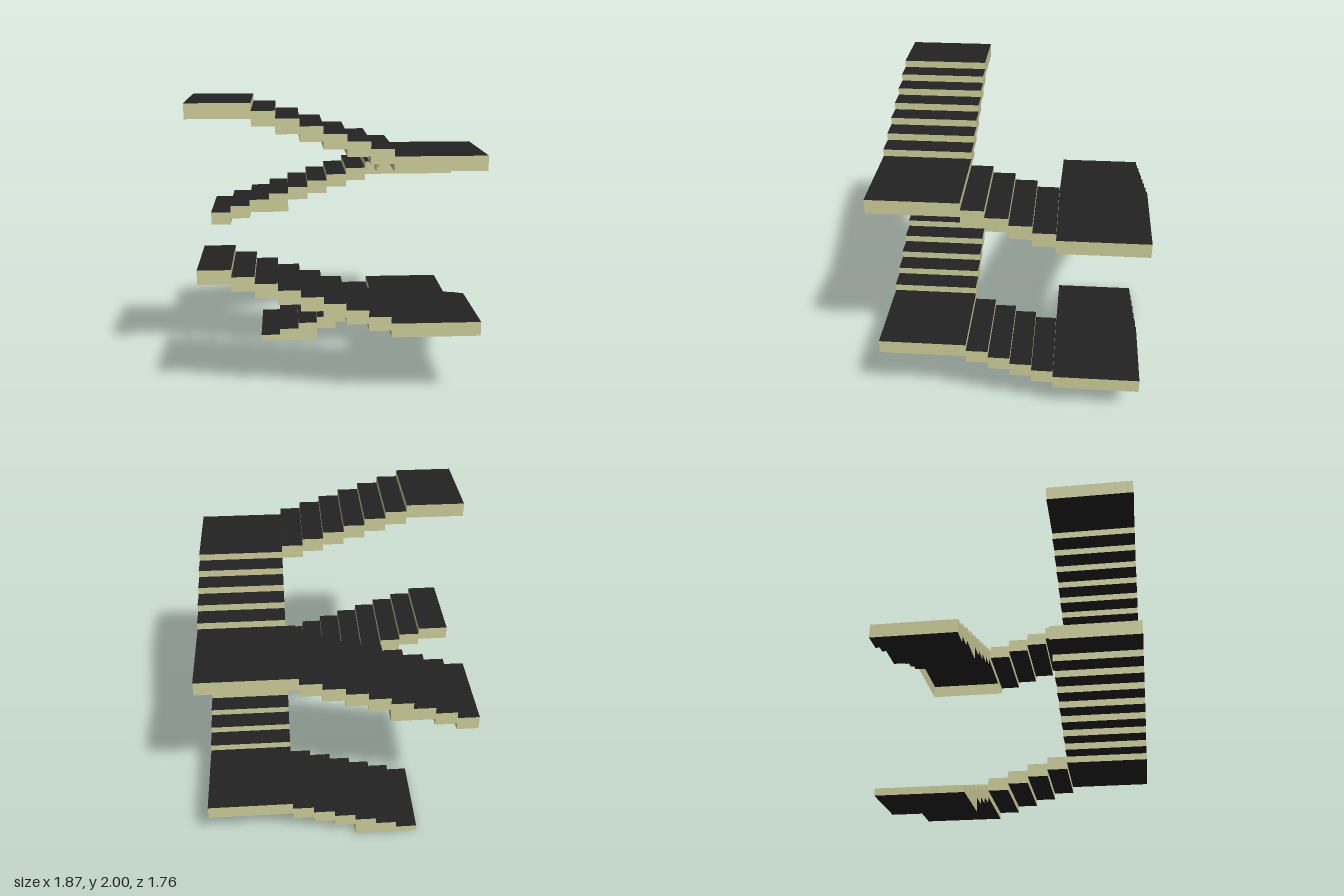
import * as THREE from 'three';

const RISE = 2 / 42;          // height of one step
const RUN = 0.1464;           // depth of one step
const IN = 0.293, OUT = 0.879; // inner and outer z of the front and back flights
const X0 = 0.345, X1 = 0.932;  // inner and outer x of the side flight

export function createModel() {
  const tread = new THREE.MeshStandardMaterial({ color: 0x222222, side: THREE.DoubleSide });
  tread.name = 'blackTread';
  const stone = new THREE.MeshStandardMaterial({ color: 0xcccc99, side: THREE.DoubleSide });
  stone.name = 'paleStone';
  const materials = [stone, stone, tread, tread, stone, stone];

  // Slab between two x and two z values; heights are counted in rises
  function slab(parent, name, xa, xb, za, zb, top, bottom = top - 2, open = false) {
    const h = (top - bottom) * RISE;
    const geo = new THREE.BoxGeometry(Math.abs(xb - xa), h, Math.abs(zb - za));
    if (open) { // leave out the underside
      const index = Array.from(geo.index.array);
      index.splice(18, 6);
      geo.setIndex(index);
      geo.clearGroups();
      geo.addGroup(0, 12, 0);
      geo.addGroup(12, 6, 2);
      geo.addGroup(18, 12, 4);
    }
    const mesh = new THREE.Mesh(geo, materials);
    mesh.name = name;
    mesh.position.set((xa + xb) / 2, bottom * RISE + h / 2, (za + zb) / 2);
    parent.add(mesh);
  }

  // Flight along x at the back (rising to +x); some low steps are filled down to a flat base
  function backFlight(parent, startX, count, firstTop, base) {
    for (let i = 0; i < count; i++) {
      const x = startX + i * RUN, top = firstTop + i;
      slab(parent, 'backStep', x, x + RUN, -OUT, -IN, top, base(i, top));
    }
  }

  // Side flight, front landing and front flight above a back landing
  function upperTurn(parent, level, frontSteps) {
    const d = (2 * IN) / 4;
    for (let i = 0; i < 4; i++) {
      slab(parent, 'sideStep', X0, X1, -IN + i * d, -IN + (i + 1) * d, level + 1 + i);
    }
    slab(parent, 'frontLanding', X0, X1, IN, OUT, level + 5);
    for (let i = 0; i < frontSteps; i++) {
      const x = X0 - i * RUN;
      slab(parent, 'frontStep', x - RUN, x, IN, OUT, level + 6 + i);
    }
  }

  const model = new THREE.Group();
  model.name = 'staircase';

  // Lower storey
  const lower = new THREE.Group();
  lower.name = 'lowerStorey';
  backFlight(lower, X0 - 6 * RUN, 6, 1, (i, top) => (i < 3 ? 0 : top - 2));
  slab(lower, 'backLanding', X0, X1, -OUT, -IN, 7);
  upperTurn(lower, 7, 7);
  slab(lower, 'endStep', -0.895, X0 - 7 * RUN, IN, OUT, 20);
  model.add(lower);

  // Upper storey
  const upper = new THREE.Group();
  upper.name = 'upperStorey';
  const start = -0.895;
  backFlight(upper, start, 8, 22, (i, top) => (i === 3 ? 22 : top - 2));
  slab(upper, 'backLanding', start + 8 * RUN, X1, -OUT, -IN, 30, 28, true);
  upperTurn(upper, 30, 6);
  slab(upper, 'topLanding', -0.935, X0 - 6 * RUN, IN, OUT, 42);
  model.add(upper);

  return model;
}
